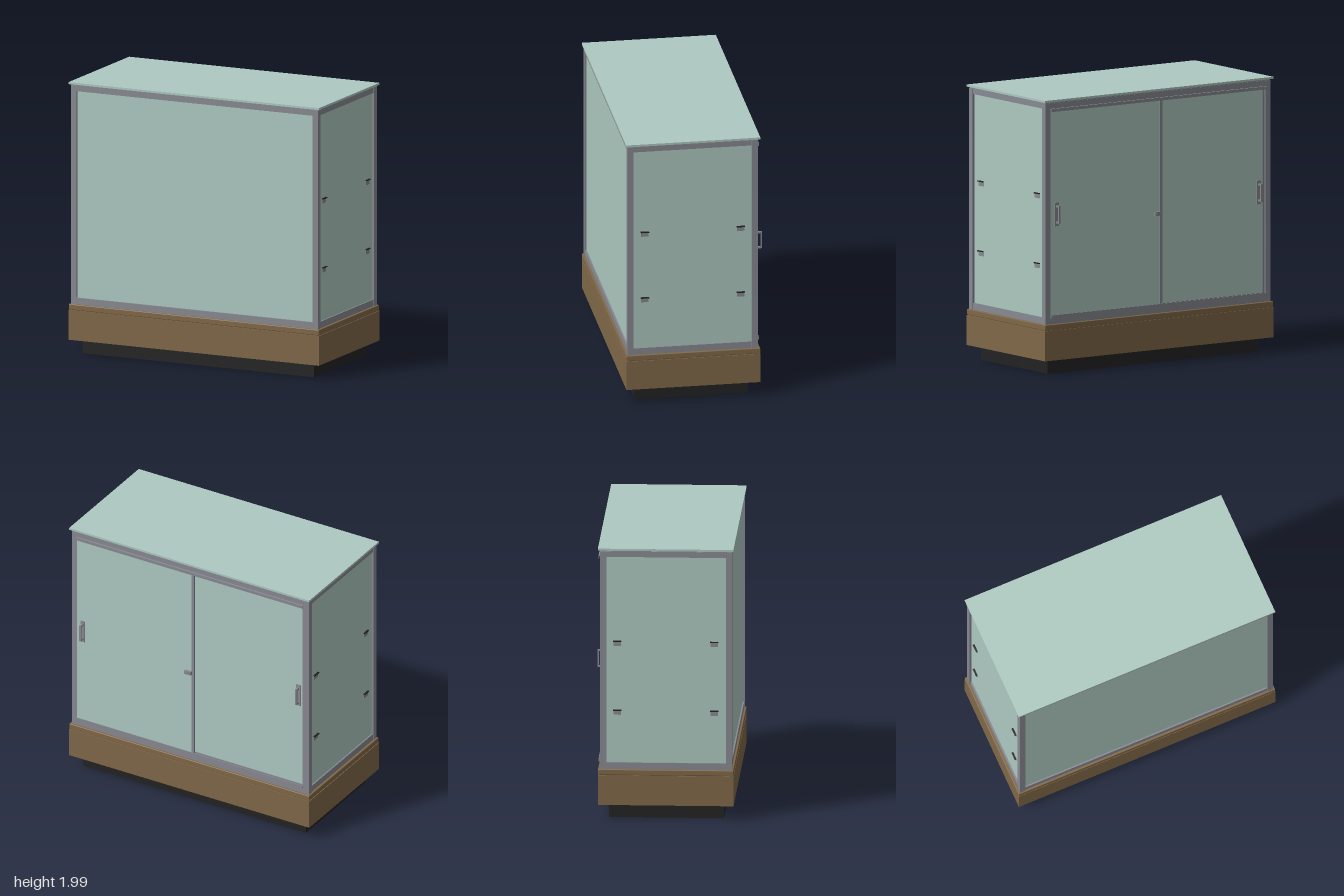
import * as THREE from 'three';
import { RoundedBoxGeometry } from 'three/addons/geometries/RoundedBoxGeometry.js';

const mat = (name, color) => {
  const m = new THREE.MeshStandardMaterial({ color });
  m.name = name;
  return m;
};

export function createModel() {
  const glass = mat('pale green glass', 0xaec9c1);
  const metal = mat('grey metal', 0x888a92);
  const wood = mat('brown wood', 0x806848);
  const black = mat('black plinth', 0x222222);
  const root = new THREE.Group();
  root.name = 'displayCabinet';

  // Box given by its lower and upper limits on each axis
  const box = (name, material, [x0, x1], [y0, y1], [z0, z1], parent = root) => {
    const mesh = new THREE.Mesh(new THREE.BoxGeometry(x1 - x0, y1 - y0, z1 - z0), material);
    mesh.position.set((x0 + x1) / 2, (y0 + y1) / 2, (z0 + z1) / 2);
    mesh.name = name;
    parent.add(mesh);
    return mesh;
  };

  // Hollow plinth
  const pf = 0.428, pb = -0.393, px = 0.925, t = 0.06;
  box('plinthFront', black, [-px, px], [0, 0.105], [pf - t, pf]);
  box('plinthBack', black, [-px, px], [0, 0.105], [pb, pb + t]);
  for (const s of [-1, 1]) {
    const x = s * (px - t / 2);
    box('plinthSide', black, [x - t / 2, x + t / 2], [0, 0.105], [pb + t, pf - t]);
  }

  // Wooden base with a fine groove below its softened top board
  box('baseBody', wood, [-1, 1], [0.105, 0.322], [-0.47, 0.5]);
  box('baseGroove', wood, [-0.994, 0.994], [0.322, 0.326], [-0.464, 0.494]);
  const board = new THREE.Mesh(new RoundedBoxGeometry(2, 0.041, 0.97, 2, 0.005), wood);
  board.position.set(0, 0.3455, 0.015);
  board.name = 'baseTopBoard';
  root.add(board);

  // Metal frame
  const xi = 0.943, xo = 0.987, zf = [0.446, 0.49], zb = [-0.454, -0.41];
  const low = [0.365, 0.414], high = [1.924, 1.965], opening = [0.414, 1.924];
  for (const s of [-1, 1]) {
    const xs = s > 0 ? [xi, xo] : [-xo, -xi];
    for (const z of [zf, zb]) box('cornerPost', metal, xs, [0.365, 1.965], z);
    const rail = s > 0 ? [xi, xo - 0.005] : [-xo + 0.005, -xi];
    for (const y of [low, high]) box('sideRail', metal, rail, y, [zb[1], zf[0]]);
  }
  for (const y of [low, high]) {
    box('frontRail', metal, [-xi, xi], y, [zf[0], zf[1] - 0.005]);
    box('backRail', metal, [-xi, xi], y, [zb[0], zb[1]]);
  }

  // Fixed glass and lid
  box('frontGlass', glass, [-xi, xi], opening, [0.464, 0.474]);
  for (const s of [-1, 1]) {
    const x = s * 0.966;
    box('sideGlass', glass, [x - 0.005, x + 0.005], opening, [zb[1], zf[0]]);
  }
  box('lidSeat', metal, [-0.98, 0.98], [1.965, 1.973], [-0.45, 0.485]);
  box('lidGlass', glass, [-1, 1], [1.973, 1.988], [-0.47, 0.5]);

  // Shelf clips on both side panes, with the shelves they carry
  for (const y of [0.8, 1.305]) {
    for (const s of [-1, 1]) {
      for (const z of [0.362, -0.332]) {
        const plate = s > 0 ? [0.955, 0.975] : [-0.975, -0.955];
        const lip = s > 0 ? [0.955, 0.984] : [-0.984, -0.955];
        box('shelfClipPlate', metal, plate, [y - 0.037, y - 0.006], [z - 0.027, z + 0.027]);
        box('shelfClipLip', black, lip, [y - 0.006, y + 0.001], [z - 0.03, z + 0.03]);
      }
    }
    box('shelf', glass, [-0.95, 0.95], [y + 0.002, y + 0.012], [-0.38, 0.42]);
  }

  // Sliding door tracks with thin outer lips
  box('upperTrackWeb', metal, [-xi, xi], [1.919, 1.924], [-0.468, -0.415]);
  box('upperTrackLip', metal, [-xi, xi], [1.902, 1.924], [-0.468, -0.463]);
  box('lowerTrackWeb', metal, [-xi, xi], [0.411, 0.416], [-0.468, -0.415]);
  box('lowerTrackLip', metal, [-xi, xi], [0.411, 0.432], [-0.468, -0.463]);
  for (const y of [[1.902, 1.919], [0.416, 0.432]]) {
    box('trackDivider', metal, [-xi, xi], y, [-0.446, -0.442]);
  }

  // Two overlapping sliding doors
  box('outerDoor', glass, [-0.025, xi], [0.417, 1.918], [-0.457, -0.449]);
  box('innerDoor', glass, [-xi, 0.03], [0.417, 1.918], [-0.437, -0.429]);
  box('outerDoorEdge', metal, [-0.035, -0.013], [0.42, 1.916], [-0.46, -0.447]);
  box('innerDoorEdge', metal, [-xi, -0.925], [0.42, 1.916], [-0.44, -0.427]);

  // Door handles: back plate and squared grip
  for (const [x, z] of [[0.892, -0.457], [-0.892, -0.437]]) {
    const handle = new THREE.Group();
    handle.name = 'doorHandle';
    handle.position.set(x, 1.158, z);
    root.add(handle);
    box('handlePlate', metal, [-0.018, 0.018], [-0.085, 0.085], [-0.006, 0], handle);
    box('handleGrip', metal, [-0.007, 0.007], [-0.064, 0.064], [-0.042, -0.031], handle);
    for (const y of [-0.058, 0.058]) {
      box('handleArm', metal, [-0.007, 0.007], [y - 0.006, y + 0.006], [-0.031, -0.006], handle);
    }
  }

  // Lock between the doors
  box('lockBody', metal, [-0.016, 0.038], [1.072, 1.1], [-0.476, -0.457]);
  const barrel = new THREE.Mesh(new THREE.CylinderGeometry(0.009, 0.009, 0.004, 16), metal);
  barrel.rotation.x = Math.PI / 2;
  barrel.position.set(0.02, 1.086, -0.478);
  barrel.name = 'lockBarrel';
  root.add(barrel);

  return root;
}
